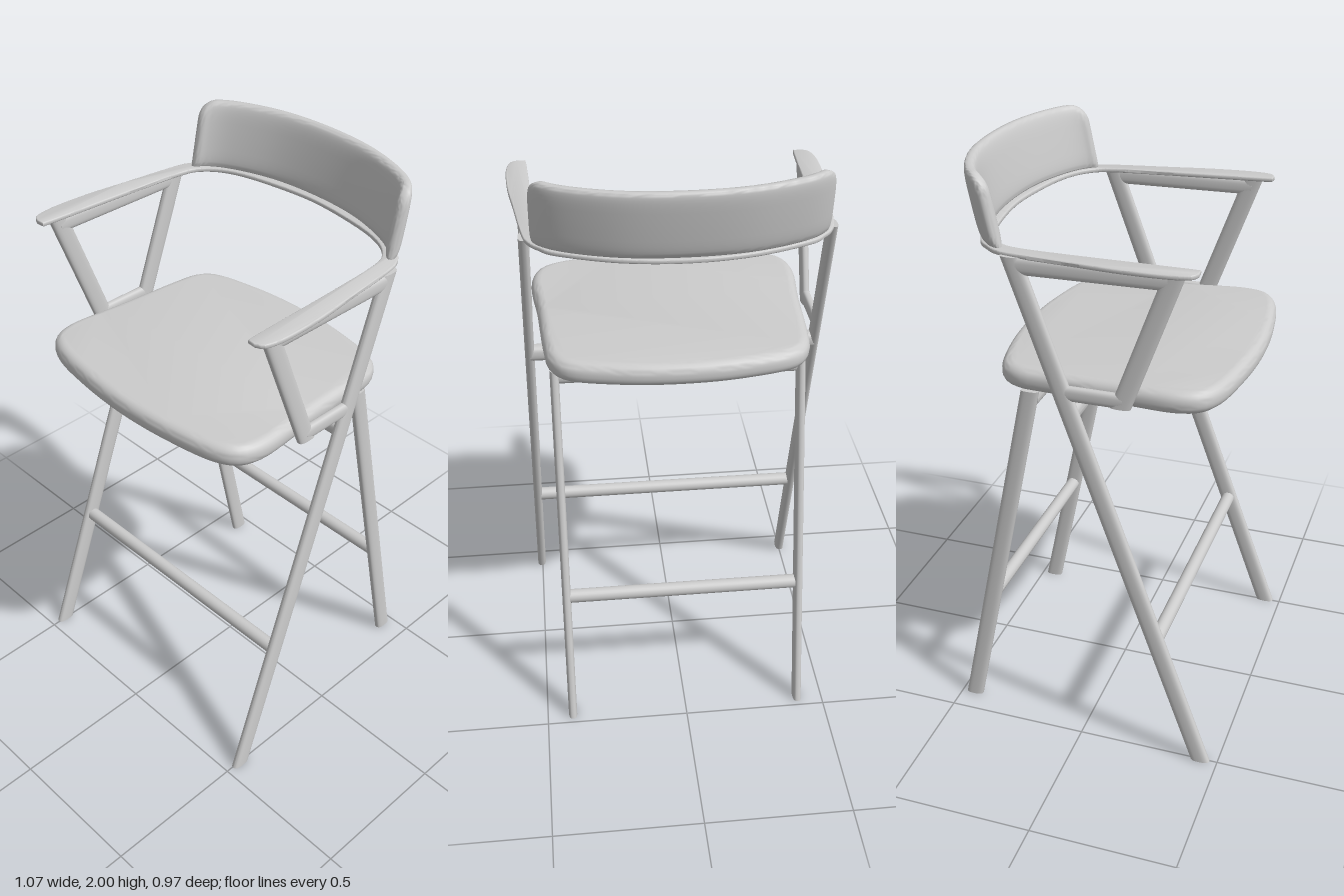
import * as THREE from 'three';
import { toCreasedNormals } from 'three/addons/utils/BufferGeometryUtils.js';

const grey = new THREE.MeshStandardMaterial({ color: 0xcccccc });
grey.name = 'light grey';

function add(parent, name, geometry) {
  const mesh = new THREE.Mesh(geometry, grey);
  mesh.name = name;
  parent.add(mesh);
}

// Rounded bar from a to b, its ends cut square to the named axis (b lies further along it)
function bar(a, b, axis, ru, rv, power = 0.75) {
  const geo = new THREE.CylinderGeometry(1, 1, 1, 24);
  if (axis === 'z') geo.rotateX(Math.PI / 2);
  if (axis === 'x') geo.rotateZ(-Math.PI / 2);
  const k = 'xyz'.indexOf(axis);
  const [u, v] = [0, 1, 2].filter((i) => i !== k);
  const soft = (c) => Math.sign(c) * Math.pow(Math.abs(c) < 1e-6 ? 0 : Math.abs(c), power);
  const pos = geo.attributes.position;
  const p = new THREE.Vector3();
  for (let i = 0; i < pos.count; i++) {
    p.fromBufferAttribute(pos, i);
    const q = p.toArray();
    const t = q[k] + 0.5;
    const out = a.map((c, n) => c + (b[n] - c) * t);
    out[u] += soft(q[u]) * ru;
    out[v] += soft(q[v]) * rv;
    pos.setXYZ(i, ...out);
  }
  geo.computeVertexNormals();
  return geo;
}

// Mirror a half outline, given from the +x side to the centre line, over to the -x side
function mirrored(half) {
  const other = half.slice(0, -1).reverse().map(([x, z]) => [-x, z]);
  return half.concat(other).map(([x, z]) => new THREE.Vector2(x, z));
}

// Flat slab from a plan shape, laid level and tilted slightly up towards the front
function slab(shape, depth, bevel, y, tilt) {
  const geo = new THREE.ExtrudeGeometry(shape, {
    depth, curveSegments: 64, bevelEnabled: true, bevelThickness: bevel,
    bevelSize: bevel, bevelOffset: -bevel, bevelSegments: 6,
  });
  geo.translate(0, 0, -depth / 2);
  geo.rotateX(Math.PI / 2);
  const pos = geo.attributes.position;
  for (let i = 0; i < pos.count; i++) pos.setY(i, pos.getY(i) + y + pos.getZ(i) * tilt);
  return toCreasedNormals(geo, 0.6);
}

function seatGeometry() {
  const front = mirrored([[0.47, 0.32], [0.443, 0.395], [0.38, 0.437], [0.2, 0.472], [0, 0.485]]);
  const back = mirrored([[0.455, 0.1], [0.44, -0.15], [0.428, -0.23], [0.385, -0.29], [0.2, -0.34], [0, -0.355]]);
  const loop = [...front, ...back.reverse()].map((p) => new THREE.Vector3(p.x, p.y, 0));
  const points = new THREE.CatmullRomCurve3(loop, true, 'centripetal').getSpacedPoints(120);
  points.pop();
  return slab(new THREE.Shape(points.map((p) => new THREE.Vector2(p.x, p.y))), 0.01, 0.034, 1.336, 0.024);
}

// One thin band forms both armrests and runs under the backrest
function armBandGeometry() {
  const outer = mirrored([[0.495, 0.386], [0.522, 0.365], [0.534, 0.29], [0.529, 0.15], [0.511, 0],
    [0.487, -0.2], [0.47, -0.26], [0.44, -0.3], [0.384, -0.345], [0.2, -0.41], [0, -0.432]]);
  const inner = mirrored([[0.466, 0.384], [0.461, 0.3], [0.448, 0], [0.434, -0.19], [0.405, -0.265],
    [0.33, -0.32], [0.2, -0.355], [0, -0.376]]).reverse();
  const shape = new THREE.Shape();
  shape.moveTo(outer[0].x, outer[0].y);
  shape.splineThru(outer.slice(1));
  shape.lineTo(inner[0].x, inner[0].y);
  shape.splineThru(inner.slice(1));
  return slab(shape, 0.007, 0.004, 1.776, 0.017);
}

// Curved, backward-leaning pad lofted from rounded sections along its plan curve
function backrestGeometry() {
  const plan = mirrored([[0.449, -0.25], [0.425, -0.287], [0.367, -0.33], [0.2, -0.39], [0, -0.409]]).reverse();
  const curve = new THREE.CatmullRomCurve3(plan.map((p) => new THREE.Vector3(p.x, 0, p.y)));
  const length = curve.getLength();
  const stations = 64, ring = 36, corner = 0.06, tip = 0.02;
  const round = (d, r) => (d >= r ? 1 : Math.sqrt(Math.max(0, 1 - (1 - d / r) ** 2)));
  const soft = (c) => Math.sign(c) * Math.pow(Math.abs(c), 0.5);
  const positions = [], index = [];
  for (let i = 0; i <= stations; i++) {
    const s = (1 - Math.cos((Math.PI * i) / stations)) / 2;
    const p = curve.getPointAt(s), t = curve.getTangentAt(s);
    const d = Math.min(s, 1 - s) * length;
    const half = (0.225 - corner * (1 - round(d, corner))) / 2;
    const thick = 0.0225 * round(d, tip);
    for (let j = 0; j <= ring; j++) {
      const a = (2 * Math.PI * (j % ring)) / ring;
      const n = soft(Math.cos(a)) * thick, h = half + soft(Math.sin(a)) * half;
      positions.push(p.x + t.z * n, 1.775 + h, p.z - t.x * n - 0.21 * h);
      if (i < stations && j < ring) {
        const k = i * (ring + 1) + j, m = k + ring + 1;
        index.push(k, k + 1, m, k + 1, m + 1, m);
      }
    }
  }
  const geo = new THREE.BufferGeometry();
  geo.setAttribute('position', new THREE.Float32BufferAttribute(positions, 3));
  geo.setIndex(index);
  return toCreasedNormals(geo, 0.8);
}

export function createModel() {
  const chair = new THREE.Group();
  chair.name = 'barChair';

  add(chair, 'seat', seatGeometry());
  add(chair, 'armrestBand', armBandGeometry());
  add(chair, 'backrest', backrestGeometry());

  // Side frames: leaning legs and the open triangle below each armrest
  for (const [side, s] of [['left', 1], ['right', -1]]) {
    const frame = new THREE.Group();
    frame.name = side + 'SideFrame';
    add(frame, 'frontLeg', bar([s * 0.503, 0, 0.44], [s * 0.482, 1.77, -0.205], 'y', 0.016, 0.033));
    add(frame, 'backLeg', bar([s * 0.41, 0, -0.452], [s * 0.41, 1.29, -0.187], 'y', 0.015, 0.031));
    add(frame, 'armStrut', bar([s * 0.487, 1.316, 0.145], [s * 0.483, 1.775, 0.313], 'y', 0.015, 0.034));
    add(frame, 'armRail', bar([s * 0.483, 1.742, -0.2], [s * 0.483, 1.748, 0.31], 'z', 0.015, 0.028));
    add(frame, 'seatSideRail', bar([s * 0.487, 1.34, -0.05], [s * 0.487, 1.34, 0.155], 'z', 0.015, 0.025));
    add(frame, 'seatBearer', bar([s * 0.285, 1.268, -0.03], [s * 0.285, 1.268, 0.26], 'z', 0.025, 0.028));
    chair.add(frame);
  }

  // Cross rails: half width, height, depth position, half height, half depth
  const rails = [
    ['frontFootrest', 0.488, 0.465, 0.27, 0.024, 0.024],
    ['backStretcher', 0.41, 0.465, -0.356, 0.024, 0.024],
    ['frontLegRail', 0.487, 1.262, -0.025, 0.027, 0.025],
    ['backLegRail', 0.41, 1.262, -0.185, 0.027, 0.025],
    ['frontSeatBearer', 0.31, 1.268, 0.252, 0.029, 0.026],
  ];
  for (const [name, x, y, z, ry, rz] of rails) {
    add(chair, name, bar([-x, y, z], [x, y, z], 'x', ry, rz, name.includes('Foot') || name.includes('Stretcher') ? 1 : 0.75));
  }
  add(chair, 'centreSeatBearer', bar([0, 1.262, -0.185], [0, 1.262, -0.025], 'z', 0.025, 0.025));
  return chair;
}
